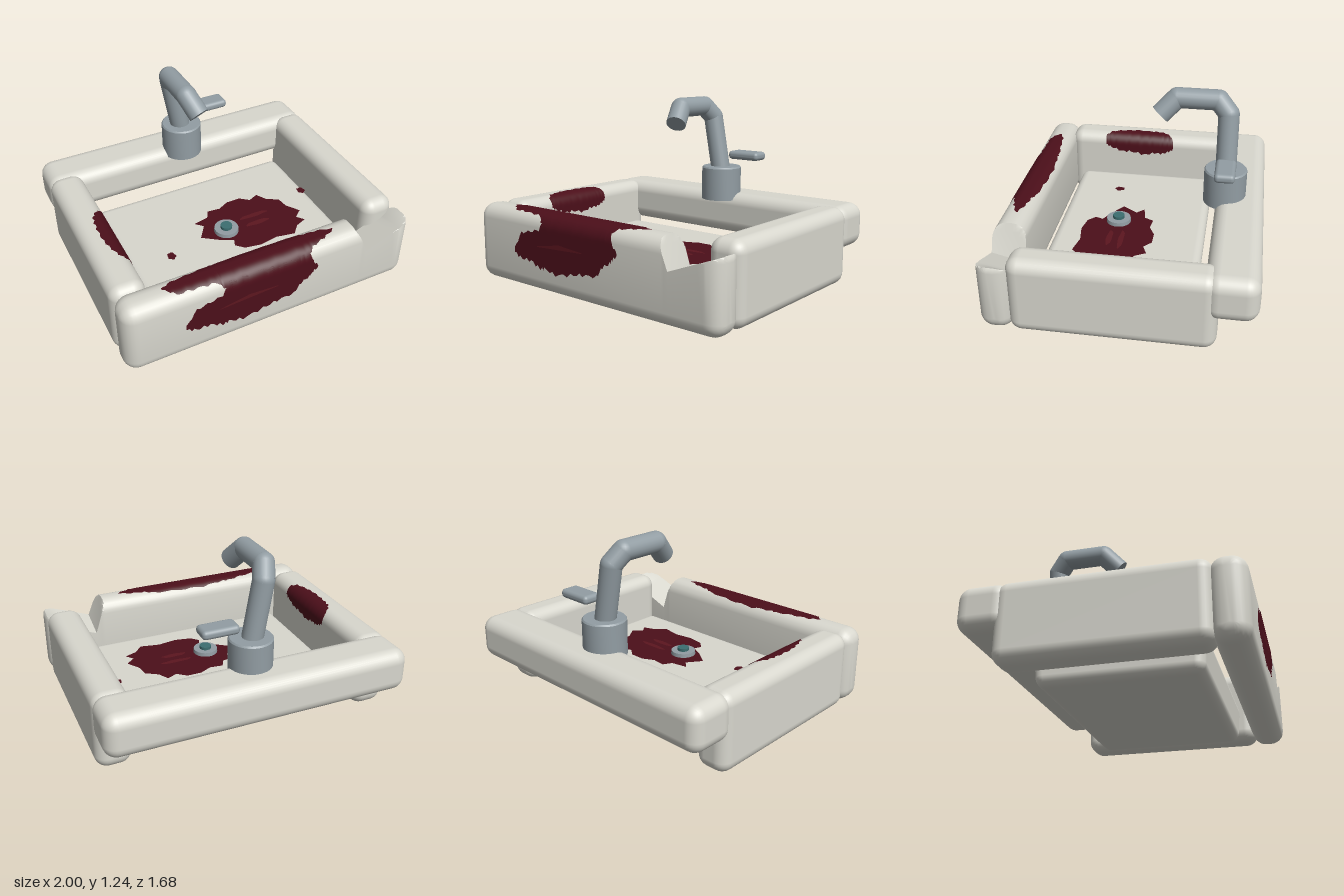
import * as THREE from 'three';
import { toCreasedNormals } from 'three/addons/utils/BufferGeometryUtils.js';
import { RoundedBoxGeometry } from 'three/addons/geometries/RoundedBoxGeometry.js';

const mat = (color, side = THREE.FrontSide) => new THREE.MeshStandardMaterial({ color, side });
const ceramic = mat(0xd8d7ce);
const metal = mat(0x929da3);
const teal = mat(0x3c6e70);
const stainMat = mat(0x4c0f1a, THREE.DoubleSide);
const streakMat = mat(0x5c161f, THREE.DoubleSide);

function add(parent, name, geometry, material, x = 0, y = 0, z = 0) {
  const mesh = new THREE.Mesh(geometry, material);
  mesh.name = name;
  mesh.position.set(x, y, z);
  parent.add(mesh);
  return mesh;
}

// Rounded box given by its limits on each axis
function slab(parent, name, [x0, x1], [y0, y1], [z0, z1], r, material) {
  const geo = new RoundedBoxGeometry(x1 - x0, y1 - y0, z1 - z0, 4, r);
  return add(parent, name, geo, material, (x0 + x1) / 2, (y0 + y1) / 2, (z0 + z1) / 2);
}

// Surface through a list of equally long point rows
function skin(rows) {
  const n = rows[0].length, index = [];
  for (let i = 0; i < rows.length - 1; i++)
    for (let j = 0; j < n - 1; j++) {
      const a = i * n + j, b = a + n;
      index.push(a, b, a + 1, b, b + 1, a + 1);
    }
  const geo = new THREE.BufferGeometry();
  geo.setAttribute('position', new THREE.Float32BufferAttribute(rows.flat(2), 3));
  geo.setIndex(index);
  geo.computeVertexNormals();
  return geo;
}

// Rounded bar along x whose top is cut by a V-shaped chip sloping down to the back
function chippedPanel() {
  const r = 0.09, y0 = 0.04, y1 = 0.55, z0 = 0.62, z1 = 0.835;
  const cy = (y0 + y1) / 2, cz = (z0 + z1) / 2;
  const cut = (x, z) => {
    if (x < 0.58) return 1;
    const front = x < 0.655 ? 0.55 - (x - 0.58) * 2.4 : 0.37 + (x - 0.655) * 0.39;
    const slope = 0.25 * Math.min(1, (x - 0.58) / 0.075, (1 - x) / 0.1);
    return front - slope * (z1 - z);
  };
  const stations = [];
  for (let k = 0; k <= 6; k++) stations.push(-1 + r * (1 - Math.cos(k * Math.PI / 12)));
  for (let k = 0; k <= 8; k++) stations.push(0.58 + 0.075 * k / 8);
  for (let k = 1; k <= 6; k++) stations.push(0.655 + 0.24 * k / 6);
  for (let k = 6; k >= 0; k--) stations.push(1 - r * (1 - Math.cos(k * Math.PI / 12)));
  const rows = stations.map(x => {
    const e = Math.max(0, r - (1 - Math.abs(x)));
    const rr = Math.sqrt(Math.max(0, r * r - e * e));
    const hz = (z1 - z0) / 2 - r, hy = (y1 - y0) / 2 - r, row = [];
    for (let q = 0; q < 4; q++)
      for (let k = 0; k <= 6; k++) {
        const a = (q + k / 6) * Math.PI / 2;
        const sz = q === 0 || q === 3 ? 1 : -1, sy = q < 2 ? 1 : -1;
        const y = cy + sy * hy + rr * Math.sin(a), z = cz + sz * hz + rr * Math.cos(a);
        row.push([x, Math.min(y, cut(x, z)), z]);
      }
    row.push([...row[0]]);
    return row;
  });
  // close both ends
  const close = row => row.map(p => [p[0], Math.min(cy, p[1]), cz]);
  rows.unshift(close(rows[0]));
  rows.push(close(rows[rows.length - 1]));
  return toCreasedNormals(skin(rows), 0.5);
}

// Stain lying over a rounded top edge; table rows are [x, low, high],
// measured along the surface from where the rounding starts; rag roughens the outline
function wrapStain(table, face, top, r, flat, rag) {
  const arc = r * Math.PI / 2, off = 0.003, rows = [];
  const point = (x, s) => {
    let a = s < 0 ? 0 : Math.min(s, arc) / r;
    const over = s - arc - flat;
    if (over > 0) a += over / r;
    const slide = Math.max(0, Math.min(s - arc, flat));
    return [x, top - r + (r + off) * Math.sin(a) + Math.min(s, 0),
      face - r + (r + off) * Math.cos(a) - slide];
  };
  const steps = 4, last = (table.length - 1) * steps;
  for (let i = 0; i <= last; i++) {
    const k = Math.min(Math.floor(i / steps), table.length - 2), t = i / steps - k;
    const [x, lo, hi] = table[k].map((v, c) => v + (table[k + 1][c] - v) * t);
    const low = lo + rag * Math.sin(i * 2.4), high = hi + rag * 0.7 * Math.sin(i * 1.9 + 1);
    const row = [];
    for (let j = 0; j <= 24; j++) row.push(point(x, low + Math.max(0.004, high - low) * j / 24));
    rows.push(row);
  }
  return skin(rows);
}

function spout(parent) {
  const r = 0.068;
  const path = [[-0.005, 0.7, -0.57], [-0.075, 1.09, -0.567], [-0.107, 1.168, -0.497],
    [-0.107, 1.168, -0.23], [-0.065, 1.063, -0.125]].map(p => new THREE.Vector3(...p));
  const up = new THREE.Vector3(0, 1, 0);
  for (let i = 0; i < path.length - 1; i++) {
    const dir = path[i + 1].clone().sub(path[i]);
    const mid = path[i].clone().addScaledVector(dir, 0.5);
    const pipe = add(parent, 'spoutPipe', new THREE.CylinderGeometry(r, r, dir.length(), 24), metal, ...mid.toArray());
    pipe.quaternion.setFromUnitVectors(up, dir.normalize());
    if (i > 0) add(parent, 'spoutJoint', new THREE.SphereGeometry(r, 24, 16), metal, ...path[i].toArray());
  }
}

// Flat patch lying on the basin floor, outline in x and z
function floorPatch(parent, name, points, y, material) {
  const shape = new THREE.Shape(points.map(([x, z]) => new THREE.Vector2(x, -z)));
  const mesh = add(parent, name, new THREE.ShapeGeometry(shape), material, 0, y, 0);
  mesh.rotation.x = -Math.PI / 2;
}

const blob = (cx, cz, rx, rz, wobble) => Array.from({ length: 14 }, (_, i) => {
  const a = i / 14 * Math.PI * 2, k = 1 + wobble * Math.sin(i * 2.3);
  return [cx + rx * k * Math.cos(a), cz + rz * k * Math.sin(a)];
});

export function createModel() {
  const model = new THREE.Group();
  model.name = 'brokenSink';
  const floorY = 0.265;

  // Basin floor, narrowing slightly towards the bottom
  const floor = slab(model, 'basinFloor', [-0.735, 0.73], [0, floorY], [-0.46, 0.56], 0.06, ceramic);
  const pos = floor.geometry.attributes.position;
  for (let i = 0; i < pos.count; i++) {
    const k = 1 - 0.035 * (0.5 - pos.getY(i) / floorY);
    pos.setX(i, pos.getX(i) * k);
    pos.setZ(i, pos.getZ(i) * k);
  }

  // Ceramic walls
  slab(model, 'backRim', [-1, 1], [0.26, 0.55], [-0.835, -0.515], 0.085, ceramic);
  slab(model, 'leftWall', [0.77, 1], [0.04, 0.55], [-0.6, 0.65], 0.08, ceramic);
  slab(model, 'rightWall', [-1, -0.77], [0.04, 0.55], [-0.6, 0.65], 0.08, ceramic);
  add(model, 'chippedFrontWall', chippedPanel(), ceramic);

  // Tap
  const tap = new THREE.Group();
  tap.name = 'tap';
  model.add(tap);
  const baseProfile = [[0, 0.5], [0.14, 0.5], [0.14, 0.727], [0.132, 0.737], [0, 0.737]]
    .map(p => new THREE.Vector2(...p));
  add(tap, 'tapBase', toCreasedNormals(new THREE.LatheGeometry(baseProfile, 32), 0.5), metal, 0, 0, -0.57);
  spout(tap);
  slab(tap, 'tapHandle', [0.097, 0.337], [0.8, 0.858], [-0.637, -0.508], 0.025, metal);

  // Drain
  add(model, 'drainRing', new THREE.CylinderGeometry(0.082, 0.085, 0.03, 32), metal, 0, floorY + 0.015, 0.145);
  add(model, 'drainPlug', new THREE.CylinderGeometry(0.04, 0.04, 0.05, 24), teal, 0, floorY + 0.025, 0.145);

  // Stains on the basin floor
  floorPatch(model, 'floorStain', [[-0.19, 0.14], [-0.12, 0.04], [-0.17, -0.01], [-0.06, -0.03], [-0.03, -0.09],
    [0.06, -0.08], [0.14, -0.12], [0.24, -0.12], [0.3, -0.07], [0.37, -0.1], [0.41, -0.03], [0.49, 0.02],
    [0.5, 0.1], [0.56, 0.19], [0.5, 0.24], [0.54, 0.29], [0.46, 0.32], [0.4, 0.385], [0.27, 0.36],
    [0.14, 0.38], [0.03, 0.36], [-0.02, 0.31], [0, 0.26], [-0.08, 0.22]], floorY + 0.004, stainMat);
  floorPatch(model, 'floorDrop', blob(-0.44, 0.215, 0.028, 0.035, 0.15), floorY + 0.004, stainMat);
  // this drop lies on the rounded rim of the floor
  floorPatch(model, 'floorDrop', blob(0.69, -0.005, 0.028, 0.033, 0.15), floorY + 0.002, stainMat);
  floorPatch(model, 'floorStreak', blob(0.24, 0.09, 0.11, 0.018, 0.1), floorY + 0.007, streakMat);
  floorPatch(model, 'floorStreak', blob(0.23, 0.17, 0.09, 0.02, 0.1), floorY + 0.007, streakMat);

  // Stain over the top edge of the front wall, and its body below
  add(model, 'frontTopStain', wrapStain([[-0.72, 0.155, 0.166], [-0.65, 0.094, 0.196], [-0.52, 0.09, 0.21],
    [-0.4, 0.08, 0.229], [-0.36, 0.03, 0.225], [-0.2, 0, 0.245], [0, 0, 0.24], [0.2, 0.02, 0.225],
    [0.26, 0.09, 0.206], [0.36, 0.12, 0.195], [0.45, 0.156, 0.166]], 0.835, 0.55, 0.09, 0.035, 0.008), stainMat);
  add(model, 'frontStain', wrapStain([[-0.62, -0.19, -0.16], [-0.55, -0.22, -0.05], [-0.46, -0.22, -0.03],
    [-0.38, -0.26, -0.01], [-0.34, -0.25, 0.06], [-0.24, -0.275, 0.06], [-0.1, -0.25, 0.06], [0, -0.23, 0.06],
    [0.12, -0.22, 0.06], [0.17, -0.15, 0.06], [0.23, -0.12, 0.05], [0.25, -0.09, -0.01],
    [0.285, -0.07, -0.05]], 0.835, 0.55, 0.09, 0.035, 0.012), stainMat);
  add(model, 'frontStreak', wrapStain([[-0.4, -0.12, -0.115], [-0.2, -0.11, -0.08], [0, -0.1, -0.095]],
    0.838, 0.55, 0.09, 0.035, 0), streakMat);

  // Stain over the inner edge of the right wall
  const sideStain = add(model, 'sideStain', wrapStain([[-0.38, 0, 0.07], [-0.34, -0.02, 0.11],
    [-0.26, -0.05, 0.135], [-0.18, -0.05, 0.15], [-0.08, -0.07, 0.152], [0, -0.05, 0.145], [0.06, -0.05, 0.135],
    [0.11, -0.03, 0.1], [0.14, -0.01, 0.05]], 0, 0.55, 0.08, 0.07, 0.01), stainMat, -0.77, 0, 0);
  sideStain.rotation.y = Math.PI / 2;

  return model;
}
